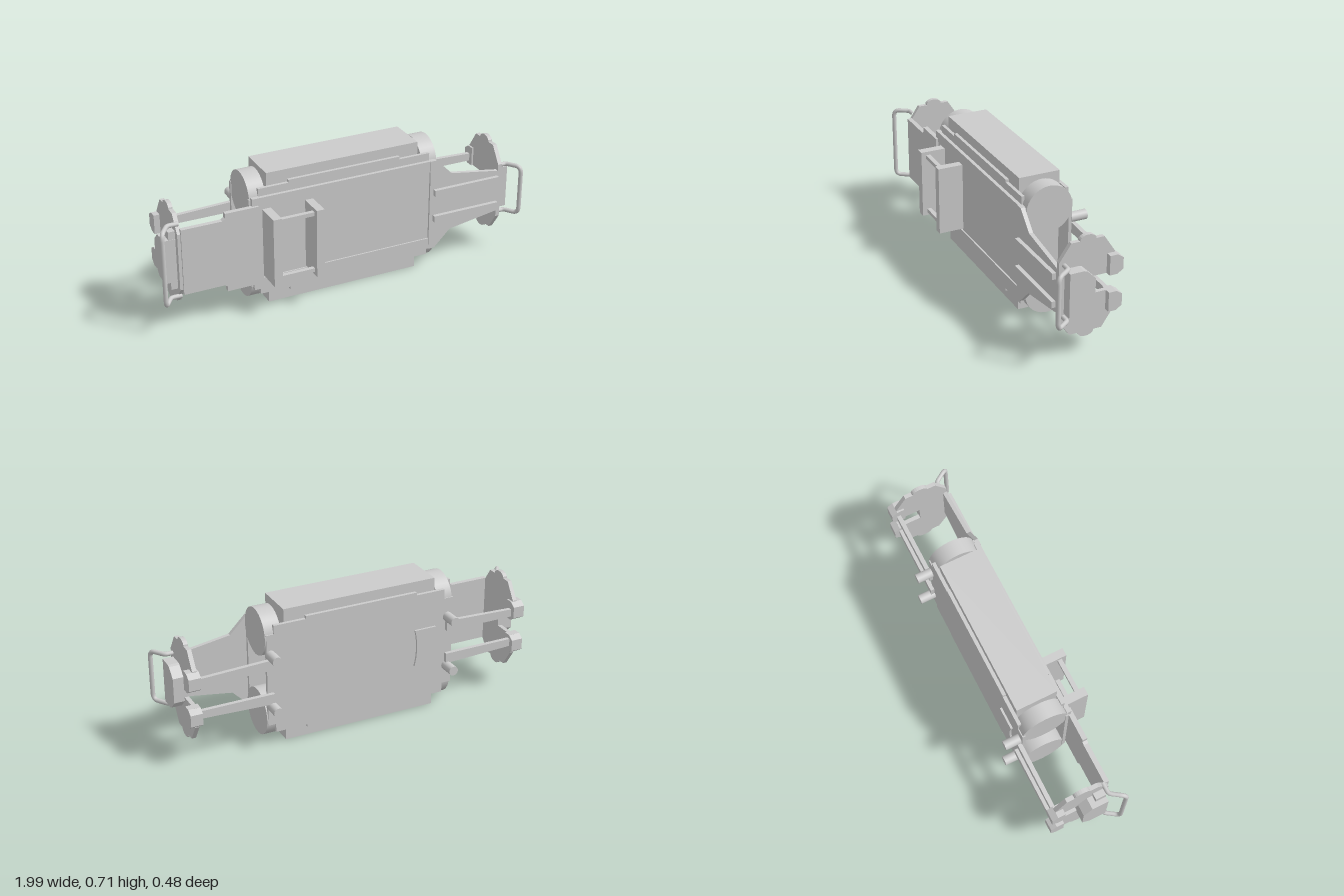
import * as THREE from 'three';

const MID = 0.36; // height of the mirror line

export function createModel() {
  const group = new THREE.Group();
  const mat = new THREE.MeshStandardMaterial({ color: 0xcccccc });
  const add = (name, geo) => {
    const m = new THREE.Mesh(geo, mat);
    m.name = name;
    group.add(m);
    return m;
  };
  // box from its lower and upper limits
  const box = (name, x0, x1, y0, y1, z0, z1) =>
    add(name, new THREE.BoxGeometry(x1 - x0, y1 - y0, z1 - z0))
      .position.set((x0 + x1) / 2, (y0 + y1) / 2, (z0 + z1) / 2);
  // the same box above and below the mirror line
  const boxPair = (name, x0, x1, y0, y1, z0, z1) => {
    box(name, x0, x1, y0, y1, z0, z1);
    box(name, x0, x1, 2 * MID - y1, 2 * MID - y0, z0, z1);
  };
  const toShape = (pts) => new THREE.Shape(pts.map((p) => new THREE.Vector2(p[0], p[1])));
  const mirrored = (half) => [...half, ...half.map(([a, b]) => [a, 2 * MID - b]).reverse()];
  // upright plate: outline in x,y
  const plateXY = (name, pts, z0, z1) => {
    const g = new THREE.ExtrudeGeometry(toShape(pts), { depth: z1 - z0, bevelEnabled: false });
    add(name, g.translate(0, 0, z0));
  };
  // crosswise plate: outline in z,y
  const plateZY = (name, pts, x0, x1) => {
    const g = new THREE.ExtrudeGeometry(toShape(pts.map(([z, y]) => [-z, y])), { depth: x1 - x0, bevelEnabled: false });
    add(name, g.rotateY(Math.PI / 2).translate(x0, 0, 0));
  };

  // Core and stepped skins
  box('core', -0.42, 0.41, 0.003, 0.717, -0.137, 0.078);
  const skin = mirrored([
    [-0.52, 0.6], [-0.47, 0.6], [-0.47, 0.65], [-0.31, 0.65], [-0.31, 0.665],
    [0.3, 0.665], [0.3, 0.65], [0.47, 0.65], [0.47, 0.605], [0.51, 0.605],
  ]);
  plateXY('frontSkin', skin, 0.078, 0.095);
  plateXY('backSkin', skin, -0.155, -0.137);
  box('frontPanel', -0.47, 0.49, 0.17, 0.55, 0.09, 0.105);
  boxPair('frontPanelRim', -0.51, 0.5, 0.55, 0.61, 0.09, 0.113);
  for (const [a, b] of [[-0.51, -0.46], [0.47, 0.5]]) box('frontPanelEnd', a, b, 0.17, 0.55, 0.09, 0.113);

  // Back hatch with waisted sides
  const hatch = new THREE.Shape();
  hatch.moveTo(-0.42, 0.26);
  hatch.lineTo(-0.3, 0.26);
  hatch.quadraticCurveTo(-0.325, MID, -0.3, 0.46);
  hatch.lineTo(-0.42, 0.46);
  hatch.quadraticCurveTo(-0.395, MID, -0.42, 0.26);
  add('backHatch', new THREE.ExtrudeGeometry(hatch, { depth: 0.012, bevelEnabled: false }).translate(0, 0, -0.166));

  // Drums at the four corners, back studs, rails and end blocks
  for (const s of [1, -1]) {
    for (const v of [1, -1]) {
      add('drum', new THREE.CylinderGeometry(0.122, 0.122, 0.085, 40).rotateZ(Math.PI / 2))
        .position.set(s * 0.473, MID + v * 0.219, -0.03);
      add('backStud', new THREE.CylinderGeometry(0.025, 0.025, 0.085, 24).rotateX(Math.PI / 2))
        .position.set(s * 0.49, MID + v * 0.138, -0.196);
      const y = (d) => MID + v * d;
      const rail = [[s * 0.48, y(0.065)], [s * 0.88, y(0.065)], [s * 0.88, y(0.105)], [s * 0.48, y(0.12)]];
      plateXY('backRail', rail, -0.175, -0.153);
      const block = [
        [-0.13, y(0.045)], [-0.17, y(0.045)], [-0.2, y(0.065)],
        [-0.2, y(0.125)], [-0.17, y(0.146)], [-0.13, y(0.146)],
      ];
      plateZY('endBlock', block, s * 0.895 - 0.031, s * 0.895 + 0.031);
    }
    // End plate: faceted outline, domed tips, open slot at the back
    const dome = [];
    for (let i = 0; i <= 10; i++) {
      const a = (i / 10) * Math.PI;
      dome.push([-0.03 + 0.042 * Math.cos(a), 0.598 + 0.027 * Math.sin(a)]);
    }
    plateZY('endPlate', mirrored([
      [0.116, 0.51], [0.056, 0.598], ...dome, [-0.113, 0.598],
      [-0.171, 0.51], [-0.171, 0.405], [-0.045, 0.405],
    ]), s * 0.885 - 0.011, s * 0.885 + 0.011);
  }

  // Left arm: tapered plate with two ribs
  plateXY('leftArm', mirrored([
    [0.47, 0.61], [0.505, 0.61], [0.595, 0.52], [0.88, 0.475],
  ]), 0.095, 0.116);
  boxPair('leftArmRib', 0.49, 0.87, 0.417, 0.45, 0.11, 0.137);
  // Right arm: stepped plate
  plateXY('rightArm', mirrored([
    [-0.88, 0.535], [-0.67, 0.535], [-0.655, 0.545], [-0.655, 0.572], [-0.48, 0.572],
  ]), 0.1, 0.125);

  // Boxes on the end plates
  plateZY('leftEndBox', mirrored([
    [0.087, 0.475], [0.015, 0.475], [0, 0.47], [-0.045, 0.425],
  ]), 0.89, 0.95);
  plateZY('rightEndBox', mirrored([
    [0.087, 0.475], [0.0, 0.475], [-0.045, 0.43],
  ]), -0.957, -0.89);
  box('rightEndPad', -0.93, -0.89, 0.205, 0.517, 0.03, 0.085);

  // Bent grab handles: rounded loops that lean forward
  const handle = (name, s, halfHeight) => {
    const path = new THREE.CurvePath();
    const P = (x, d, z) => new THREE.Vector3(s * x, MID + d, z);
    const h = halfHeight, c = h - 0.035;
    const pts = [P(0.88, h, 0.09), P(0.925, h, 0.09), P(0.947, h, 0.105), P(0.969, h, 0.137), P(0.986, c, 0.163)];
    const low = pts.map((p) => new THREE.Vector3(p.x, 2 * MID - p.y, p.z));
    const corner = (a, b, k) => path.add(new THREE.QuadraticBezierCurve3(a, k, b));
    path.add(new THREE.LineCurve3(pts[0], pts[1]));
    corner(pts[1], pts[2], P(0.937, h, 0.09));
    path.add(new THREE.LineCurve3(pts[2], pts[3]));
    corner(pts[3], pts[4], P(0.986, h, 0.163));
    path.add(new THREE.LineCurve3(pts[4], low[4]));
    corner(low[4], low[3], P(0.986, -h, 0.163));
    path.add(new THREE.LineCurve3(low[3], low[2]));
    corner(low[2], low[1], P(0.937, -h, 0.09));
    path.add(new THREE.LineCurve3(low[1], low[0]));
    add(name, new THREE.TubeGeometry(path, 90, 0.0115, 12, false));
  };
  handle('leftHandle', 1, 0.134);
  handle('rightHandle', -1, 0.195);

  // Front rack: two uprights joined by two bars
  for (const [a, b] of [[-0.455, -0.41], [-0.227, -0.185]]) box('rackUpright', a, b, 0.178, 0.543, 0.1, 0.238);
  boxPair('rackBar', -0.42, -0.22, 0.505, 0.525, 0.19, 0.213);

  // Upright winding for outlines that were mirrored into clockwise order is handled by the extruder
  return group;
}
